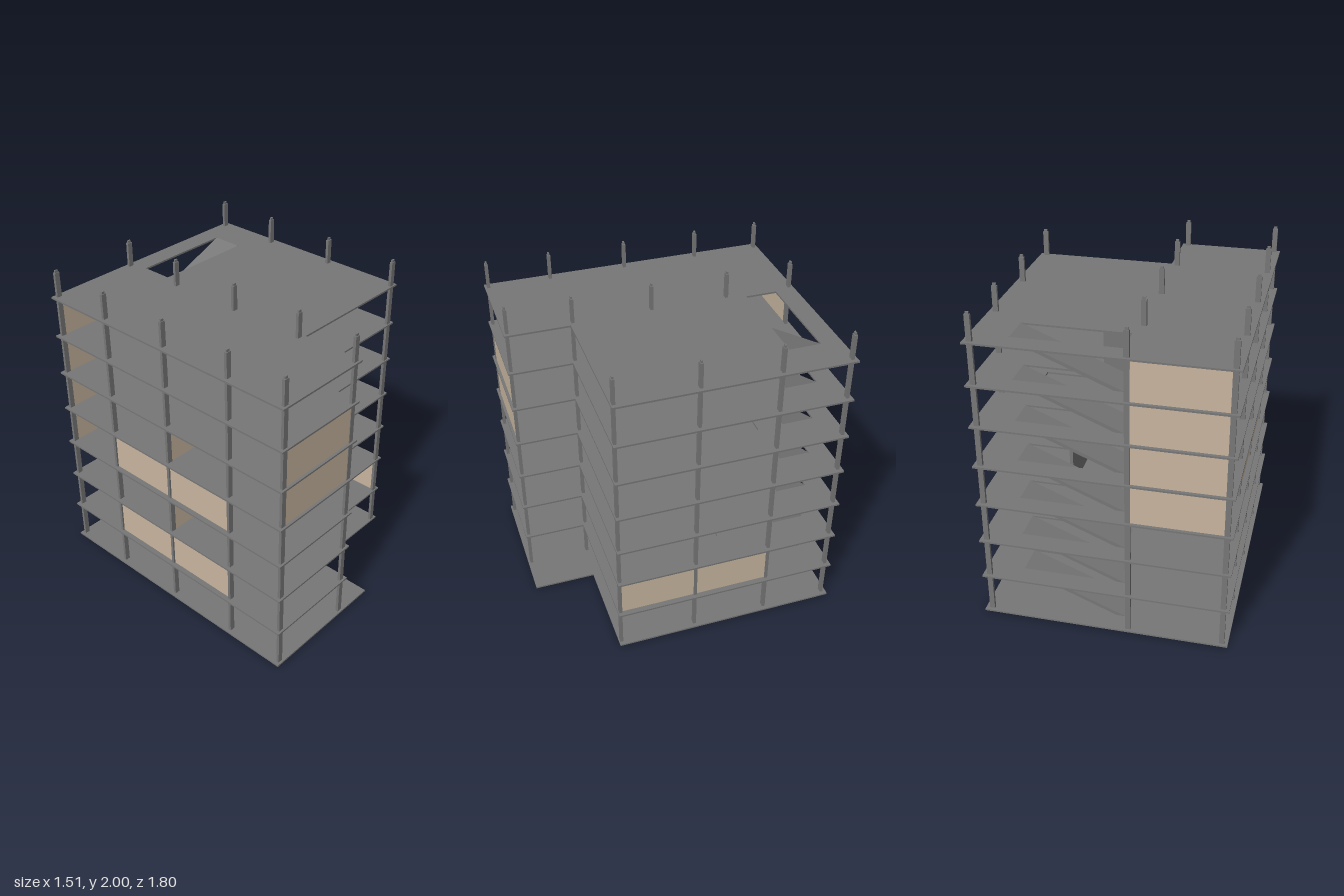
import * as THREE from 'three';

const grey = new THREE.MeshStandardMaterial({ color: 0x777777 });
const tan = new THREE.MeshStandardMaterial({ color: 0xc8b59f });

const STOREY = 0.2593, THICK = 0.011;
const slabTop = (i) => 0.015 + i * STOREY;
const slabBottom = (i) => slabTop(i) - THICK;

export function createModel() {
  const model = new THREE.Group();

  // Box given by its limits on each axis
  function box(name, material, [x0, x1], [y0, y1], [z0, z1], parent = model) {
    const mesh = new THREE.Mesh(new THREE.BoxGeometry(x1 - x0, y1 - y0, z1 - z0), material);
    mesh.position.set((x0 + x1) / 2, (y0 + y1) / 2, (z0 + z1) / 2);
    mesh.name = name;
    parent.add(mesh);
    return mesh;
  }

  // Floor slab: L-shaped outline in plan with rectangular openings
  function slab(level, notchX, openings) {
    const plan = [[-0.755, 0.9], [notchX, 0.9], [notchX, 0.51], [0.755, 0.51], [0.755, -0.905], [-0.755, -0.905]];
    const shape = new THREE.Shape(plan.map(([x, z]) => new THREE.Vector2(x, -z)));
    for (const [x0, x1, z0, z1] of openings) {
      shape.holes.push(new THREE.Path([
        new THREE.Vector2(x0, -z0), new THREE.Vector2(x1, -z0),
        new THREE.Vector2(x1, -z1), new THREE.Vector2(x0, -z1),
      ]));
    }
    const geometry = new THREE.ExtrudeGeometry(shape, { depth: THICK, bevelEnabled: false });
    geometry.rotateX(-Math.PI / 2);
    const mesh = new THREE.Mesh(geometry, grey);
    mesh.position.y = slabBottom(level);
    mesh.name = 'floorSlab' + level;
    model.add(mesh);
  }

  const stairOpening = [-0.11, 0.53, -0.78, -0.585];
  const extraOpenings = { 2: [-0.11, 0.53, -0.2, 0.29], 5: [-0.11, 0.53, -0.43, -0.15] };
  slab(0, 0.105, []);
  for (let i = 1; i <= 7; i++) {
    slab(i, -0.11, extraOpenings[i] ? [stairOpening, extraOpenings[i]] : [stairOpening]);
  }

  // Columns with a narrower splice tip at the top
  function column(x, z) {
    const group = new THREE.Group();
    group.name = 'column';
    box('columnShaft', grey, [x - 0.016, x + 0.016], [0, 1.985], [z - 0.009, z + 0.009], group);
    box('columnTip', grey, [x - 0.01, x + 0.01], [1.985, 2], [z - 0.005, z + 0.005], group);
    model.add(group);
  }
  for (const z of [-0.88, -0.467, 0.007, 0.49, 0.878]) {
    column(-0.718, z);
    column(-0.148, z);
    if (z < 0.8) column(0.715, z + 0.004);
  }

  // Stair ramps, one per storey
  for (let i = 0; i < 7; i++) {
    const a = slabTop(i) - 0.004, b = slabTop(i + 1);
    const profile = new THREE.Shape([
      new THREE.Vector2(-0.115, a - 0.006), new THREE.Vector2(-0.075, a - 0.006),
      new THREE.Vector2(0.54, b - 0.014), new THREE.Vector2(0.54, b),
      new THREE.Vector2(0.525, b), new THREE.Vector2(-0.115, a + 0.002),
    ]);
    const ramp = new THREE.Mesh(new THREE.ExtrudeGeometry(profile, { depth: 0.193, bevelEnabled: false }), grey);
    ramp.position.z = -0.779;
    ramp.name = 'stairRamp' + i;
    model.add(ramp);
  }

  // Wall panels filling a storey between the columns
  const storey = (i) => [slabTop(i), slabBottom(i + 1)];
  const bayX = [-0.702, -0.164];
  const baysZ = [[-0.458, -0.002], [0.016, 0.481]];
  for (const i of [3, 4, 5, 6]) box('backPanel', tan, bayX, storey(i), [-0.885, -0.875]);
  for (const i of [4, 5]) box('frontPanel', tan, bayX, storey(i), [0.873, 0.883]);
  for (const i of [1, 2, 4]) box('innerPanel', tan, bayX, storey(i), [0.002, 0.012]);
  for (const bay of baysZ) {
    for (const i of [1, 3]) box('rightPanel', tan, [-0.723, -0.713], storey(i), bay);
    box('leftPanel', tan, [0.71, 0.72], storey(1), bay);
  }

  // Loose panels leaning against the middle columns
  for (const [i, height] of [[3, 0.225], [5, 0.205]]) {
    const panel = box('leaningPanel', tan, [-0.182, -0.174], [slabTop(i), slabTop(i) + height], baysZ[0]);
    panel.rotation.z = -0.1;
  }

  // Grey partition and service block
  box('partitionWall', grey, [0.255, 0.275], storey(3), [-0.575, 0.24]);
  box('serviceBlock', grey, [-0.13, 0.055], storey(6), [-0.575, 0.24]);

  return model;
}
